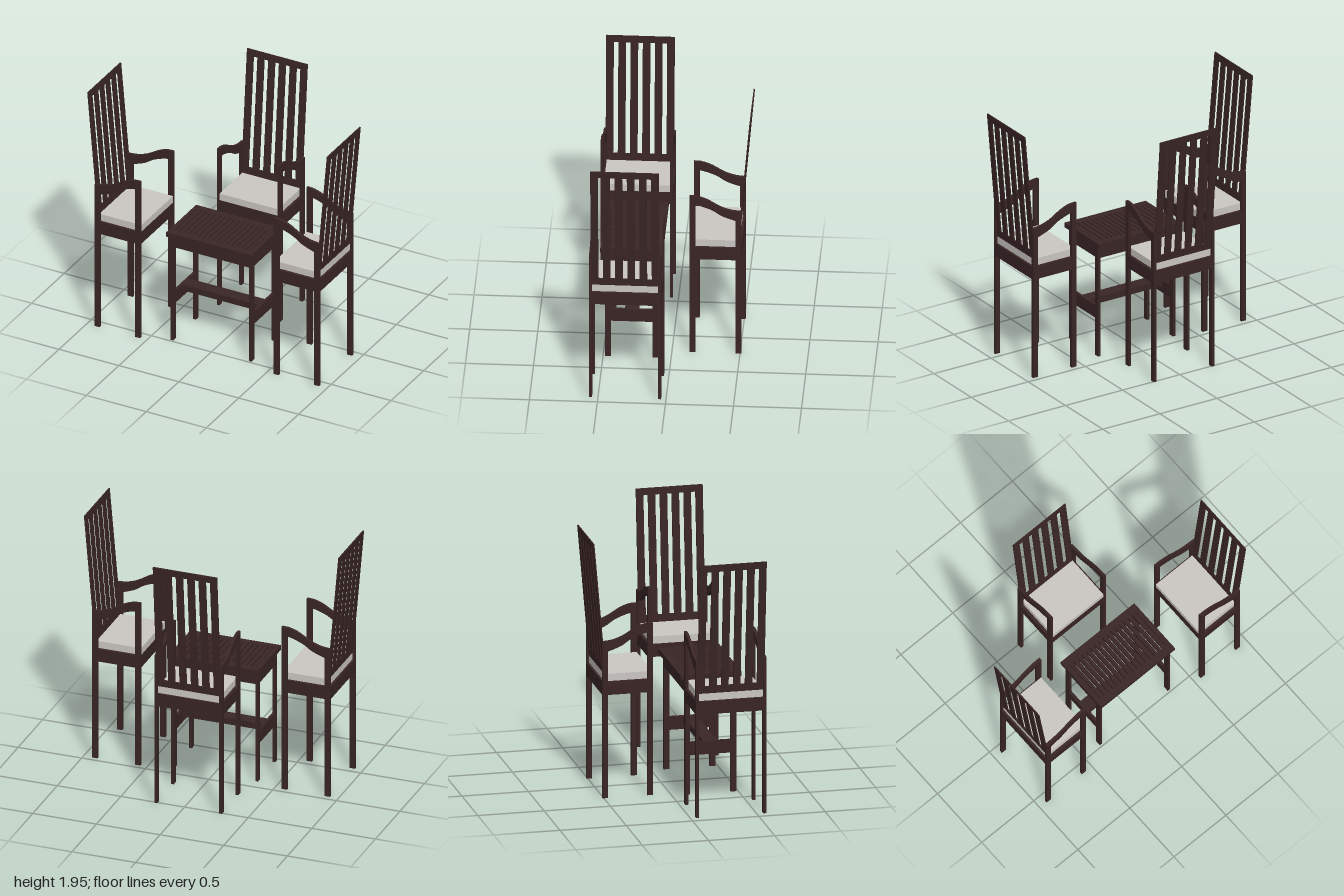
import * as THREE from 'three';

export function createModel() {
  const wood = new THREE.MeshStandardMaterial({ color: 0x3a2525 });
  wood.name = 'dark wood';
  const fabric = new THREE.MeshStandardMaterial({ color: 0xcbc6c2 });
  fabric.name = 'light grey fabric';

  // box given by its low and high corners
  function box(parent, name, x0, x1, y0, y1, z0, z1, mat = wood) {
    const mesh = new THREE.Mesh(new THREE.BoxGeometry(x1 - x0, y1 - y0, z1 - z0), mat);
    mesh.position.set((x0 + x1) / 2, (y0 + y1) / 2, (z0 + z1) / 2);
    mesh.name = name;
    parent.add(mesh);
    return mesh;
  }

  // wavy armrest outline, drawn as (depth, height)
  function armGeometry() {
    const top = [[0, 1.32], [0.06, 1.315], [0.13, 1.29], [0.225, 1.235], [0.305, 1.208], [0.38, 1.2]];
    const low = [[0.38, 1.12], [0.335, 1.125], [0.24, 1.16], [0.16, 1.21], [0.06, 1.245], [0, 1.245]];
    const vecs = (list) => list.map(([d, y]) => new THREE.Vector2(d, y));
    const shape = new THREE.Shape();
    shape.moveTo(0, 1.32);
    shape.splineThru(vecs(top.slice(1)));
    shape.lineTo(0.38, 1.12);
    shape.splineThru(vecs(low.slice(1)));
    const geo = new THREE.ExtrudeGeometry(shape, { depth: 0.022, bevelEnabled: false, curveSegments: 12 });
    geo.rotateY(Math.PI / 2); // depth runs towards -z, thickness along +x
    return geo;
  }

  // chair facing +z, its front edge on z = 0
  function makeChair(name) {
    const chair = new THREE.Group();
    chair.name = name;
    const arm = armGeometry();
    for (const [side, x] of [['left', 0.243], ['right', -0.265]]) {
      box(chair, side + 'FrontLeg', x, x + 0.022, 0, 1.25, -0.042, 0);
      box(chair, side + 'BackLeg', x, x + 0.022, 0, 1.125, -0.38, -0.338);
      box(chair, side + 'SeatRail', x, x + 0.022, 0.79, 0.89, -0.338, -0.042);
      const rest = new THREE.Mesh(arm, wood);
      rest.name = side + 'Armrest';
      rest.position.x = x;
      chair.add(rest);
    }
    box(chair, 'frontSeatRail', -0.243, 0.243, 0.79, 0.89, -0.022, 0);
    box(chair, 'backSeatRail', -0.243, 0.243, 0.79, 0.89, -0.38, -0.358);

    // slats under the cushion
    for (let i = 0; i < 5; i++) {
      const z = -0.075 - i * 0.066;
      box(chair, 'seatSlat', -0.243, 0.243, 0.868, 0.888, z, z + 0.045);
    }
    box(chair, 'cushion', -0.243, 0.243, 0.889, 0.945, -0.362, -0.002, fabric);

    // leaning backrest, built upright and tilted about its foot
    const back = new THREE.Group();
    back.name = 'backrest';
    const height = 1.008, t = 0.005;
    box(back, 'topRail', -0.252, 0.252, height - 0.052, height, -t, t);
    box(back, 'bottomRail', -0.252, 0.252, 0, 0.056, -t, t);
    for (let i = 0; i < 6; i++) {
      const x = -0.252 + i * 0.0896;
      box(back, 'backSlat', x, x + 0.056, 0.056, height - 0.052, -t, t);
    }
    back.position.set(0, 0.945, -0.357);
    back.rotation.x = -Math.atan(0.0865);
    chair.add(back);
    return chair;
  }

  // tall table with slatted top
  function makeTable() {
    const table = new THREE.Group();
    table.name = 'table';
    const hx = 0.355, hz = 0.23;
    for (const s of [-1, 1]) {
      const span = (a, b) => [Math.min(s * a, s * b), Math.max(s * a, s * b)];
      box(table, 'topEndBoard', ...span(hx - 0.035, hx), 0.885, 0.922, -hz, hz);
      box(table, 'topSideBoard', -hx + 0.035, hx - 0.035, 0.885, 0.922, ...span(hz - 0.054, hz));
      box(table, 'endApron', ...span(0.316, 0.338), 0.79, 0.885, -0.195, 0.195);
      box(table, 'sideApron', -0.316, 0.316, 0.79, 0.885, ...span(0.175, 0.195));
      box(table, 'endStretcher', ...span(0.316, 0.338), 0.3, 0.4, -0.153, 0.153);
      for (const q of [-1, 1]) {
        const z = q * 0.174;
        box(table, 'tableLeg', ...span(0.316, 0.338), 0, 0.79, z - 0.021, z + 0.021);
      }
    }
    const count = 16, pitch = 0.64 / count;
    for (let i = 0; i < count; i++) {
      const x = -0.32 + (i + 0.5) * pitch;
      box(table, 'topSlat', x - 0.0145, x + 0.0145, 0.887, 0.92, -hz + 0.054, hz - 0.054);
    }
    box(table, 'centreStretcher', -0.316, 0.316, 0.35, 0.4, -0.05, 0.05);
    return table;
  }

  const model = new THREE.Group();
  model.name = 'tableAndChairs';
  for (const [name, x, z, turn] of [
    ['backChair', -0.032, -0.13, 0],
    ['leftChair', 0.553, 0.301, -Math.PI / 2],
    ['rightChair', -0.555, 0.307, Math.PI / 2],
  ]) {
    const chair = makeChair(name);
    chair.position.set(x, 0, z);
    chair.rotation.y = turn;
    model.add(chair);
  }
  const table = makeTable();
  table.position.set(-0.011, 0, 0.29);
  model.add(table);
  return model;
}
